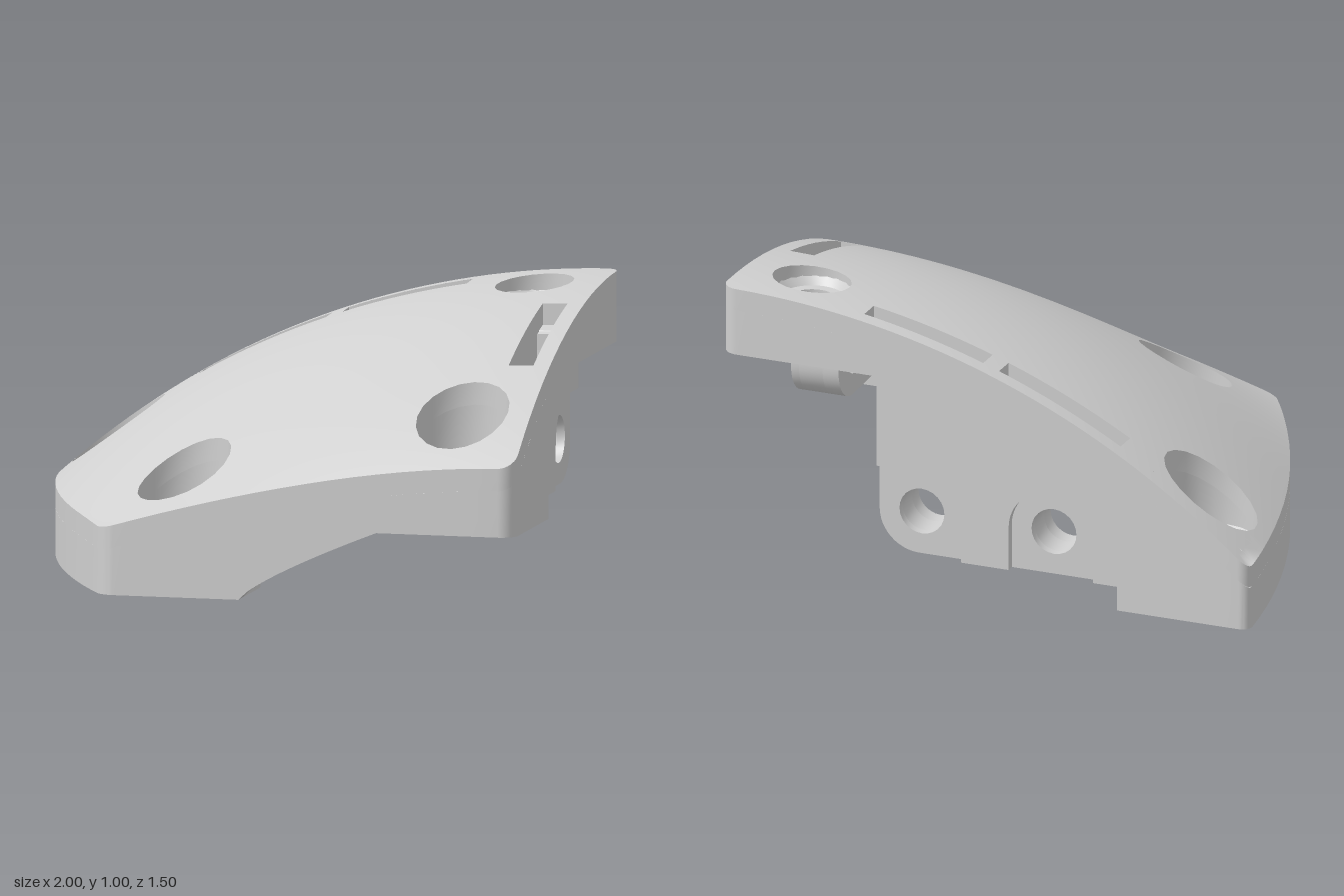
import * as THREE from 'three';
import { toCreasedNormals, mergeGeometries } from 'three/addons/utils/BufferGeometryUtils.js';

const SKIN = 0.08; // shell thickness

// Domed top: highest at the back corner x = 1, z = -0.75
function dome(x, z) {
  const dx = Math.min(2.1, Math.max(0, 1 - x)), dz = Math.max(0, z + 0.75);
  const drop = 2.98 - Math.sqrt(2.98 ** 2 - dx * dx) + 2.5 - Math.sqrt(6.25 - dz * dz);
  return Math.max(0.235, 1 - drop + 0.0415 * dx ** 3 * (dz / 1.5) ** 5);
}
const under = (x, z) => dome(x, z) - SKIN;

// Curved left edge of the plan
const leftX = (z) => -1 + 0.0667 * (z + 0.75) + 0.1778 * (z + 0.75) ** 2;
function leftEdge(z0, z1, off = 0, r = 0, n = 10) {
  const pts = [];
  for (let i = 0; i <= n; i++) {
    const z = z0 + ((z1 - z0) * i) / n;
    pts.push([leftX(z) + off, z, 0]);
  }
  if (r) pts[0][2] = r;
  return pts;
}

// Closed path through [a, b, cornerRadius] points
function poly(pts, Kind = THREE.Shape) {
  const path = new Kind(), n = pts.length;
  const toward = (p, q, d) => {
    const l = Math.hypot(q[0] - p[0], q[1] - p[1]);
    return [p[0] + ((q[0] - p[0]) * d) / l, p[1] + ((q[1] - p[1]) * d) / l];
  };
  pts.forEach((p, i) => {
    const r = p[2] || 0, a = pts[(i + n - 1) % n], b = pts[(i + 1) % n];
    const s = r ? toward(p, a, r) : p;
    if (i) path.lineTo(s[0], s[1]); else path.moveTo(s[0], s[1]);
    if (r) {
      const e = toward(p, b, r), c1 = toward(p, a, r * 0.448), c2 = toward(p, b, r * 0.448);
      path.bezierCurveTo(c1[0], c1[1], c2[0], c2[1], e[0], e[1]);
    }
  });
  path.closePath();
  return path;
}
const circle = (x, z, r, Kind = THREE.Path) => new Kind().absarc(x, z, r, 0, Math.PI * 2, false);
const rect = (x0, z0, x1, z1, Kind = THREE.Path) => poly([[x0, z0], [x1, z0], [x1, z1], [x0, z1]], Kind);

function makeGeometry(pos) {
  const g = new THREE.BufferGeometry();
  g.setAttribute('position', new THREE.Float32BufferAttribute(pos, 3));
  return g;
}

// Solid over a plan shape (x, z) between two height functions
function slab(shape, holes, top, bottom, maxEdge = 0.11) {
  shape.holes = holes;
  const ex = shape.extractPoints(10), capPos = [], capNormals = [], sidePos = [];
  const clean = (ring, cw) => {
    const out = ring.filter((p, i) => p.distanceTo(ring[(i + 1) % ring.length]) > 1e-5);
    return THREE.ShapeUtils.isClockWise(out) === cw ? out : out.reverse();
  };
  const outer = clean(ex.shape, false), inner = ex.holes.map((h) => clean(h, true));
  const all = [outer, ...inner].flat();
  const mid = (a, b) => new THREE.Vector2((a.x + b.x) / 2, (a.y + b.y) / 2);
  // Cap corners take their normals from the slope of the height function
  const putCap = (f, sign, ...ps) => ps.forEach(({ x, y: z }) => {
    const e = 0.004, nx = (f(x - e, z) - f(x + e, z)) / (2 * e), nz = (f(x, z - e) - f(x, z + e)) / (2 * e);
    const l = sign * Math.hypot(nx, 1, nz);
    capPos.push(x, f(x, z), z);
    capNormals.push(nx / l, 1 / l, nz / l);
  });
  // Split the longest edge until the cap is fine enough to follow the dome
  const cap = (a, b, c) => {
    const ab = a.distanceTo(b), bc = b.distanceTo(c), ca = c.distanceTo(a);
    if (Math.max(ab, bc, ca) <= maxEdge) {
      putCap(top, 1, a, c, b);
      putCap(bottom, -1, a, b, c);
      return;
    }
    const [p, q, r] = ab >= bc && ab >= ca ? [a, b, c] : bc >= ca ? [b, c, a] : [c, a, b];
    const h = mid(p, q);
    cap(p, h, r);
    cap(h, q, r);
  };
  THREE.ShapeUtils.triangulateShape(outer, inner).forEach(([i, j, k]) => {
    let a = all[i], b = all[j], c = all[k];
    if ((b.x - a.x) * (c.y - a.y) - (b.y - a.y) * (c.x - a.x) < 0) [b, c] = [c, b];
    cap(a, b, c);
  });
  const putSide = (f, ...ps) => ps.forEach((p) => sidePos.push(p.x, f(p.x, p.y), p.y));
  const side = (a, b) => {
    if (a.distanceTo(b) > maxEdge) {
      const h = mid(a, b);
      side(a, h);
      side(h, b);
      return;
    }
    putSide(top, a, b); putSide(bottom, b);
    putSide(top, a); putSide(bottom, b, a);
  };
  [outer, ...inner].forEach((r) => r.forEach((p, i) => side(p, r[(i + 1) % r.length])));
  const caps = makeGeometry(capPos);
  caps.setAttribute('normal', new THREE.Float32BufferAttribute(capNormals, 3));
  return mergeGeometries([caps, toCreasedNormals(makeGeometry(sidePos), 0.5)]);
}

// Thick side wall built in layers from the outer face inwards: recessed panel, core, slot, core
function layeredWall(panel, core, s0, s1, height, slots, inTail, lugs) {
  const layers = [[0, 0.03, panel], [0.03, 0.06, core], [0.06, 0.15, core, true], [0.15, 0.21, core]];
  return mergeGeometries(layers.map(([d0, d1, base, cut]) => {
    const pts = base.slice();
    for (let i = 0; i <= 80; i++) {
      const s = s0 + ((s1 - s0) * i) / 80;
      let y = height(s);
      if (cut) for (const [c, yb] of slots) y = Math.min(y, yb + 5 * Math.max(0, Math.abs(s - c) - 0.14));
      pts.push([s, inTail(s) ? Math.max(y, 0.79) : y]);
    }
    const shape = poly(pts);
    if (d0 > 0) shape.holes = lugs.map(([s, y]) => circle(s, y, 0.085));
    const g = new THREE.ExtrudeGeometry(shape, { depth: d1 - d0, bevelEnabled: false, curveSegments: 12 });
    return toCreasedNormals(g.translate(0, 0, d0), 0.5);
  }));
}

export function createModel() {
  const group = new THREE.Group();
  const grey = new THREE.MeshStandardMaterial({ color: 0xd0d0d0 });
  grey.name = 'light grey plastic';
  const add = (name, geo) => {
    const m = new THREE.Mesh(geo, grey);
    m.name = name;
    group.add(m);
    return m;
  };

  // Corner blocks: outline, cavity, foot height, screw position, shelf height, bore radius
  const blocks = [
    { name: 'backRightBlock', foot: 0.75, x: 0.75, z: -0.51, shelf: 0.9, r: 0.14,
      plan: [[1, -0.75, 0.06], [1, -0.16], [0.41, -0.16], [0.41, -0.75]],
      cavity: [[0.94, -0.69], [0.94, -0.22], [0.47, -0.22], [0.47, -0.69]] },
    { name: 'frontRightBlock', foot: 0.255, x: 0.75, z: 0.5, shelf: 0.45, r: 0.165,
      plan: [[1, 0.26], [1, 0.75, 0.06], [0.5, 0.75], [0.5, 0.26, 0.18]],
      cavity: [[0.94, 0.32], [0.94, 0.69], [0.56, 0.69], [0.56, 0.32, 0.13]] },
    { name: 'backLeftBlock', foot: 0, x: -0.76, z: -0.51, shelf: 0.18, r: 0.165,
      plan: [[-0.5, -0.75], [-0.5, -0.26, 0.18], ...leftEdge(-0.26, -0.7, 0, 0, 5), [-1, -0.75, 0.04]],
      cavity: [[-0.56, -0.69], [-0.56, -0.32, 0.13], ...leftEdge(-0.32, -0.69, 0.06, 0, 5)] },
    { name: 'frontLeftBlock', foot: 0, x: -0.26, z: 0.5, shelf: 0.22, r: 0.165,
      plan: [[0, 0.26, 0.2], [0, 0.75], ...leftEdge(0.75, 0.26, 0, 0.045, 5)],
      cavity: [[-0.06, 0.32, 0.14], [-0.06, 0.69], ...leftEdge(0.69, 0.32, 0.06, 0, 5)] },
  ];

  // Domed shell with screw openings and three slots
  const outline = poly([[1, -0.75, 0.06], [1, 0.75, 0.06], ...leftEdge(0.75, -0.69, 0, 0.045, 14), [-1, -0.75, 0.045]]);
  add('domedShell', slab(outline, [
    ...blocks.map((b) => circle(b.x, b.z, b.r)),
    rect(-0.49, -0.69, -0.03, -0.6), rect(0.03, -0.69, 0.48, -0.6), rect(0.85, -0.24, 0.94, 0.24),
  ], dome, under, 0.09));

  for (const b of blocks) {
    const rim = b.shelf + 0.03, R = b.r + 0.03;
    add(b.name, slab(poly(b.plan), [poly(b.cavity, THREE.Path)], under, () => b.foot));
    // Bore sleeve, screw seat and tube
    add('boreSleeve', slab(circle(b.x, b.z, R, THREE.Shape), [circle(b.x, b.z, b.r)], under,
      (x, z) => Math.min(rim, under(x, z) - 0.005)));
    const low = b.shelf - 0.05;
    const profile = [[0.085, b.foot], [0.13, b.foot], [0.13, low], [R, low], [R, rim], [b.r, rim],
      [0.12, b.shelf], [0.085, b.shelf], [0.085, b.foot]].map(([r, y]) => new THREE.Vector2(r, y));
    add('screwSeat', toCreasedNormals(new THREE.LatheGeometry(profile, 32), 0.5)).position.set(b.x, 0, b.z);
    // Short ribs bracing the tube
    for (let i = 0; i < 4; i++) {
      const a = (i * Math.PI) / 2, h = b.shelf - b.foot;
      const rib = add('tubeRib', new THREE.BoxGeometry(0.09, h * 0.8, 0.03));
      rib.position.set(b.x + Math.cos(a) * 0.16, b.foot + h * 0.55, b.z + Math.sin(a) * 0.16);
      rib.rotation.y = -a;
    }
  }

  // Back wall with two recessed lugs
  const backCore = [[0.5, 0.75], [0.41, 0.75], [0.41, 0.09, 0.15], [-0.5, 0.09]];
  const backPanel = [[0.5, 0.75], [0.41, 0.75], [0.41, 0.41], [0.09, 0.41, 0.16], [0.09, 0.09], [-0.09, 0.09],
    [-0.09, 0.41, 0.159], [-0.41, 0.41, 0.159], [-0.41, 0.09], [-0.5, 0.09]];
  add('backWall', layeredWall(backPanel, backCore, -0.5, 0.5, (s) => under(s, -0.75),
    [[0.255, 0.55], [-0.26, 0.42]], (s) => s > 0.39, [[0.25, 0.25], [-0.25, 0.25]])).position.z = -0.75;

  // Right wall with one recessed lug
  const rightCore = [[0.26, 0.34], [-0.16, 0.34, 0.14], [-0.16, 0.75], [-0.26, 0.75]];
  const rightPanel = [[0.26, 0.34], [0.16, 0.34], [0.16, 0.66, 0.16], [-0.16, 0.66], [-0.16, 0.75], [-0.26, 0.75]];
  const rightWall = add('rightWall', layeredWall(rightPanel, rightCore, -0.26, 0.26, (s) => under(1, s),
    [[0, 0.64]], (s) => s < -0.15, [[0, 0.5]]));
  rightWall.rotation.y = -Math.PI / 2;
  rightWall.position.x = 1;

  // Thin left wall and arched front wall
  add('leftWall', slab(poly([...leftEdge(-0.26, 0.26), ...leftEdge(0.26, -0.26, 0.09)]), [], under, () => 0));
  add('frontWall', slab(rect(0, 0.69, 0.5, 0.75, THREE.Shape), [], under,
    (x) => 0.255 * Math.max(0, x / 0.5) ** 0.78, 0.05));

  // Ring and rib lattice under the shell, staggered rows of rings
  const rings = [[-0.24, -0.45], [0.26, -0.45], [-0.5, -0.24], [0, -0.24], [-0.72, 0], [-0.24, 0], [0.25, 0],
    [0.68, 0], [-0.5, 0.23], [0, 0.23], [0.5, 0.23], [0.25, 0.47]];
  const ends = [[0.25, 0.69], [0, 0.47], [0.5, 0.47], [0.42, -0.24], [0.8, 0], [0.6, -0.17], [-0.72, -0.26]];
  const deep = (x, z) => under(x, z) - 0.05;
  const lattice = [];
  const gap = (a, b) => Math.hypot(b[0] - a[0], b[1] - a[1]);
  const strip = (a, b, cutB) => {
    const l = gap(a, b), u = [(b[0] - a[0]) / l, (b[1] - a[1]) / l], e = l - cutB;
    const at = (t, w) => [a[0] + u[0] * t - u[1] * w, a[1] + u[1] * t + u[0] * w];
    lattice.push(slab(poly([at(0.09, -0.015), at(e, -0.015), at(e, 0.015), at(0.09, 0.015)]), [], under, deep));
  };
  rings.forEach((a, i) => {
    lattice.push(slab(circle(a[0], a[1], 0.105, THREE.Shape), [circle(a[0], a[1], 0.078)], under, deep));
    rings.slice(i + 1).filter((b) => gap(a, b) < 0.52).forEach((b) => strip(a, b, 0.09));
    ends.filter((b) => gap(a, b) < 0.3).forEach((b) => strip(a, b, 0));
  });
  add('ribLattice', mergeGeometries(lattice));
  return group;
}
